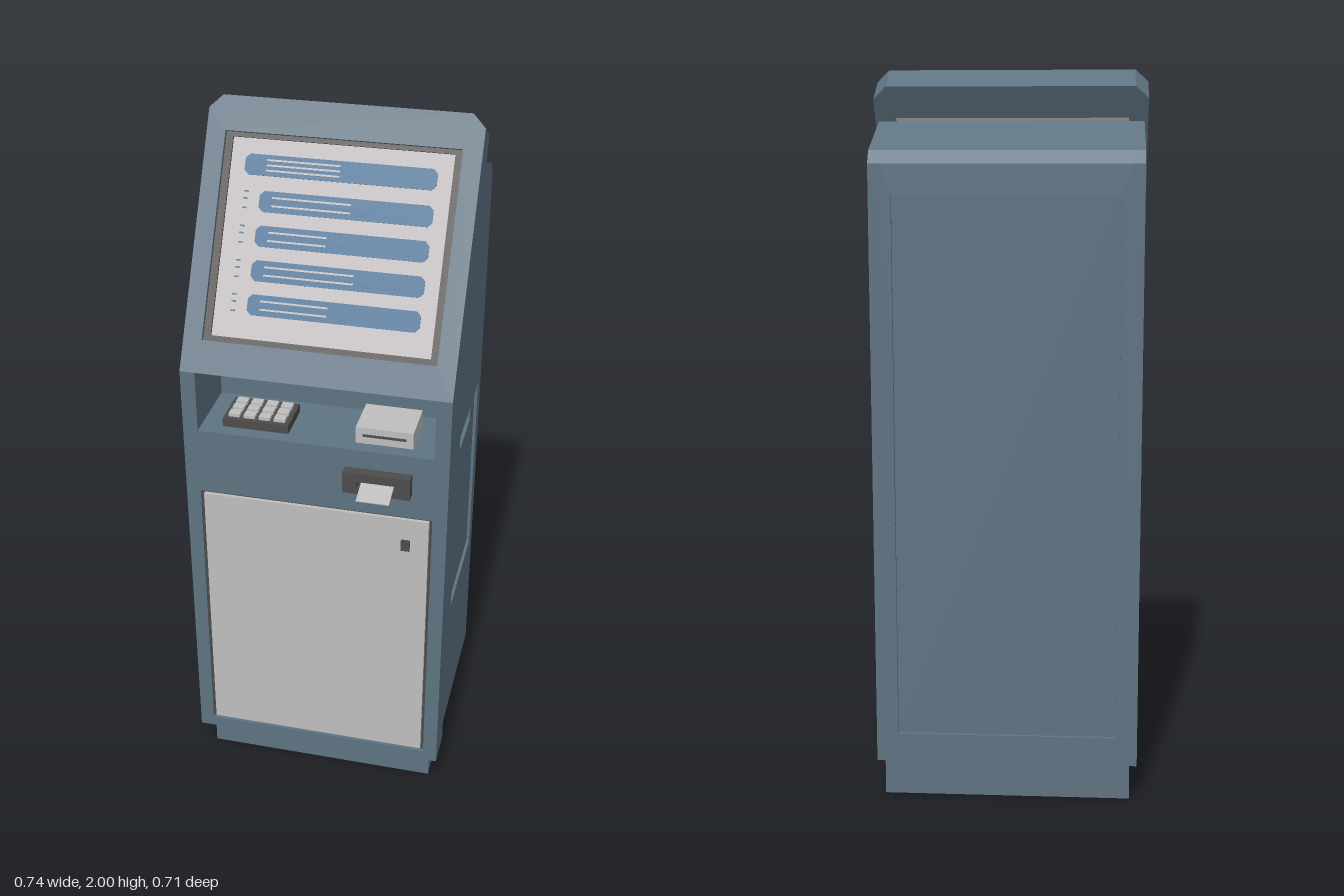
import * as THREE from 'three';

const mat = (name, color) => Object.assign(new THREE.MeshStandardMaterial({ color }), { name });

// Closed outline from points, with optional outlined holes
function outline(points, holes = []) {
  const shape = new THREE.Shape(points.map(p => new THREE.Vector2(...p)));
  for (const h of holes) shape.holes.push(new THREE.Path(h.map(p => new THREE.Vector2(...p))));
  return shape;
}
const rect = (x0, y0, x1, y1) => [[x0, y0], [x1, y0], [x1, y1], [x0, y1]];
const extrude = (shape, depth) => new THREE.ExtrudeGeometry(shape, { depth, bevelEnabled: false });

// Extrudes a (z, y) profile across x, from x0 to x1
function across(shape, x0, x1) {
  return extrude(shape, x1 - x0).rotateY(-Math.PI / 2).translate(x1, 0, 0);
}

export function createModel() {
  const slate = mat('slate paint', 0x5f7382);
  const dark = mat('dark plastic', 0x4e4c4b);
  const grey = mat('light grey metal', 0xbebebe);
  const glass = mat('screen background', 0xbdb8ba);
  const blue = mat('screen blue', 0x436f94);

  const model = new THREE.Group();
  model.name = 'kiosk';
  const add = (parent, name, geometry, material) => {
    const mesh = new THREE.Mesh(geometry, material);
    mesh.name = name;
    parent.add(mesh);
    return mesh;
  };
  // Box given by its minimum and maximum corners
  const box = (parent, name, material, x0, y0, z0, x1, y1, z1) =>
    add(parent, name, new THREE.BoxGeometry(x1 - x0, y1 - y0, z1 - z0)
      .translate((x0 + x1) / 2, (y0 + y1) / 2, (z0 + z1) / 2), material);

  // Plinth
  box(model, 'plinth', slate, -0.342, 0, -0.335, 0.342, 0.106, 0.22);

  // Cabinet core, notched for the shelf niche
  const roof = [[-0.137, 1.863], [-0.333, 1.785], [-0.355, 1.75]];
  add(model, 'cabinetCore', across(outline([
    [0.16, 0.105], [0.16, 1.175], [0.05, 1.175], [0.05, 1.355], [0.16, 1.355], ...roof,
    [-0.355, 1.74], [-0.345, 1.74], [-0.345, 0.105],
  ]), -0.33, 0.33), slate);

  // Back frame around the sunken rear panel
  add(model, 'backFrame', extrude(outline(rect(-0.33, 0.105, 0.33, 1.745),
    [rect(-0.302, 0.185, 0.302, 1.67)]), 0.01).translate(0, 0, -0.355), slate);

  // Side walls with service hatches and recessed handles
  const wall = outline([[0.16, 0.105], [0.16, 1.355], ...roof, [-0.355, 0.105]],
    [rect(-0.3, 0.53, 0.045, 1.105)]);
  const hatch = outline(rect(-0.296, 0.534, 0.041, 1.101), [rect(-0.218, 1.027, -0.035, 1.08)]);
  for (const [side, s] of [['left', 1], ['right', -1]]) {
    const slab = (name, shape, near, far, m) =>
      add(model, side + name, across(shape, Math.min(s * near, s * far), Math.max(s * near, s * far)), m);
    slab('Wall', wall, 0.33, 0.362, slate);
    slab('Hatch', hatch, 0.33, 0.354, slate);
    slab('HatchHandle', outline(rect(-0.207, 1.029, -0.047, 1.078)), 0.33, 0.344, dark);
  }

  // Front shell, open at the top for the niche and pocketed for the door
  add(model, 'frontShell', extrude(outline([
    [-0.372, 0.105], [0.372, 0.105], [0.372, 1.355], [0.33, 1.355],
    [0.33, 1.175], [-0.33, 1.175], [-0.33, 1.355], [-0.372, 1.355],
  ], [rect(-0.331, 0.138, 0.331, 0.98)]), 0.11).translate(0, 0, 0.16), slate);

  // Front door with dark seal and lock
  box(model, 'doorSeal', dark, -0.331, 0.138, 0.2, 0.331, 0.98, 0.26);
  box(model, 'door', grey, -0.322, 0.147, 0.255, 0.322, 0.971, 0.27);
  box(model, 'doorLock', dark, 0.246, 0.87, 0.265, 0.271, 0.905, 0.275);

  // Tilted head: local y runs up the slope, local z points out of the screen
  const head = new THREE.Group();
  head.name = 'screenHead';
  head.position.set(0, 1.355, 0.27);
  head.rotation.x = -Math.PI / 6;
  model.add(head);

  const T = 0.0953, L = 0.746;
  const casing = extrude(outline([
    [-0.372, 0], [0.372, 0], [0.372, L - 0.036], [0.336, L], [-0.336, L], [-0.372, L - 0.036],
  ], [rect(-0.32, 0.09, 0.32, 0.652)]), T).translate(0, 0, -T);
  // Mitre the lower end so it sits level on the front shell
  const pos = casing.attributes.position;
  for (let i = 0; i < pos.count; i++) {
    if (pos.getY(i) < 1e-4) pos.setY(i, -pos.getZ(i) * Math.tan(Math.PI / 6));
  }
  casing.computeVertexNormals();
  add(head, 'headCasing', casing, slate);

  add(head, 'screenBezel', extrude(outline(rect(-0.32, 0.09, 0.32, 0.652),
    [rect(-0.3, 0.106, 0.3, 0.64)]), 0.012).translate(0, 0, -0.024), dark);
  box(head, 'screen', glass, -0.32, 0.09, -0.06, 0.32, 0.652, -0.018);

  // Menu bars with pale text lines and small index marks
  const bars = [[1.84, -0.26, -0.2, 0], [1.757, -0.21, -0.175, 0.04], [1.677, -0.21, -0.175, -0.015],
    [1.597, -0.21, -0.175, 0.07], [1.518, -0.21, -0.175, 0.01]];
  bars.forEach(([y, x0, t0, t1], i) => {
    const s = (y - 1.355 + 0.009) / 0.866, h = 0.028, c = 0.012;
    add(head, 'menuBar', extrude(outline([
      [x0 + c, s - h], [0.26 - c, s - h], [0.26, s - h + c], [0.26, s + h - c],
      [0.26 - c, s + h], [x0 + c, s + h], [x0, s + h - c], [x0, s - h + c],
    ]), 0.002).translate(0, 0, -0.018), blue);
    for (const d of i ? [-0.011, 0.011] : [-0.014, 0, 0.014]) {
      box(head, 'menuText', glass, t0, s + d - 0.0025, -0.017, t1, s + d + 0.0025, -0.0145);
    }
    if (!i) return;
    for (const d of [-0.02, 0.005, 0.024]) {
      box(head, 'indexMark', blue, -0.255, s + d - 0.002, -0.019, -0.243, s + d + 0.002, -0.016);
    }
  });

  // Keypad on the shelf
  const keypad = new THREE.Group();
  keypad.name = 'keypad';
  model.add(keypad);
  box(keypad, 'keypadBase', dark, -0.27, 1.174, 0.105, -0.083, 1.2, 0.23);
  for (let col = 0; col < 4; col++) {
    for (let row = 0; row < 3; row++) {
      const x = -0.257 + col * 0.043, z = 0.117 + row * 0.036;
      box(keypad, 'key', grey, x, 1.199, z, x + 0.032, 1.209, z + 0.027);
    }
  }

  // Card reader on the shelf
  box(model, 'cardReader', grey, 0.106, 1.174, 0.1, 0.265, 1.224, 0.23);
  box(model, 'cardSlot', dark, 0.125, 1.197, 0.225, 0.246, 1.204, 0.232);

  // Receipt printer mouth with paper
  add(model, 'receiptPrinter', extrude(outline(rect(0.085, 1.055, 0.272, 1.12),
    [rect(0.125, 1.072, 0.232, 1.094)]), 0.034).translate(0, 0, 0.266), dark);
  box(model, 'receiptSlotBack', dark, 0.12, 1.068, 0.266, 0.237, 1.098, 0.28);
  const paper = box(model, 'receiptPaper', grey, 0.135, -0.0015, 0, 0.226, 0.0015, 0.079);
  paper.position.set(0, 1.089, 0.279);
  paper.rotation.x = 0.26;

  return model;
}
